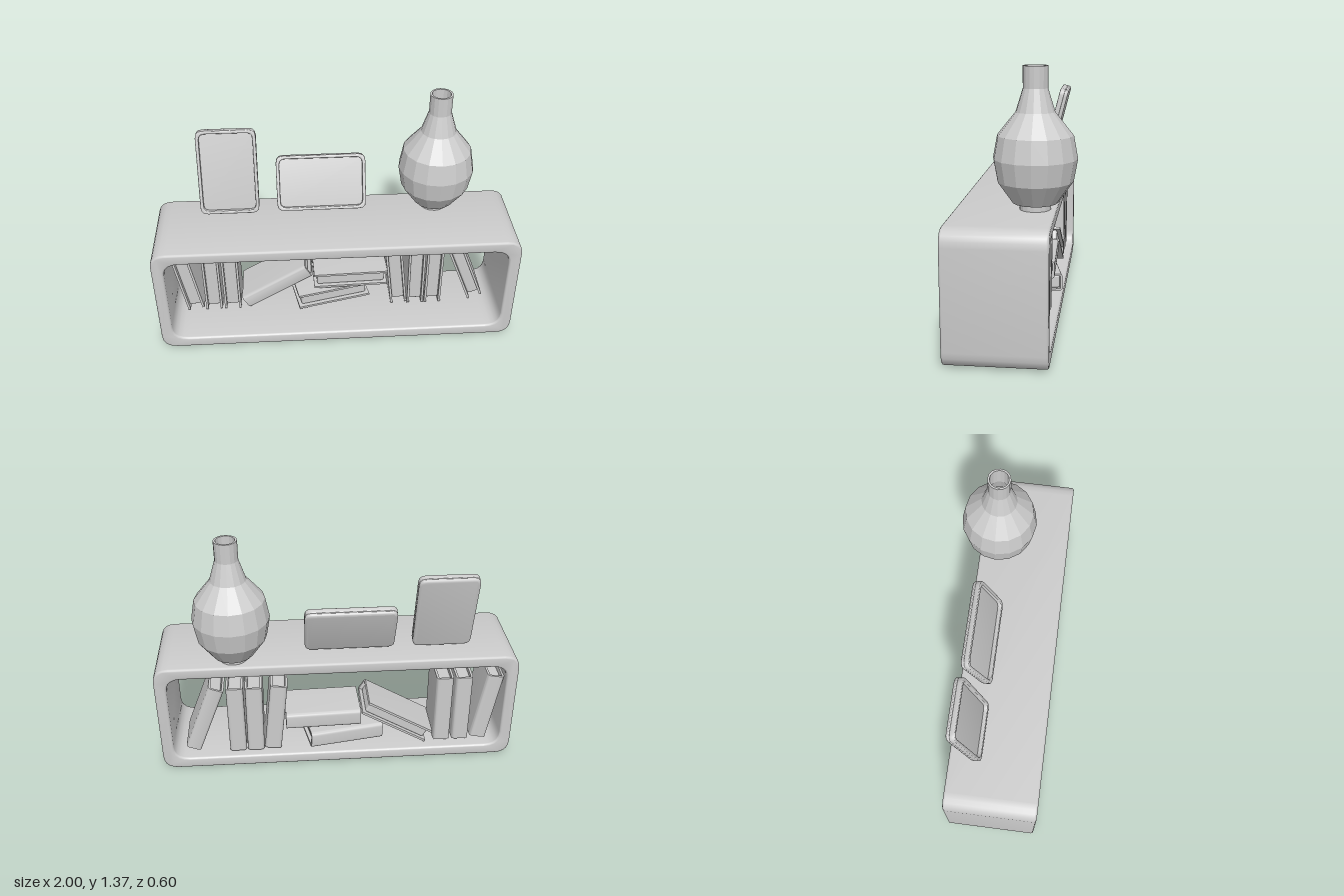
import * as THREE from 'three';
import { toCreasedNormals } from 'three/addons/utils/BufferGeometryUtils.js';
import { RoundedBoxGeometry } from 'three/addons/geometries/RoundedBoxGeometry.js';

const grey = new THREE.MeshStandardMaterial({ color: 0xcccccc });
const facetGrey = new THREE.MeshStandardMaterial({ color: 0xcccccc, flatShading: true, side: THREE.DoubleSide });

function part(name, geometry, material = grey) {
  const mesh = new THREE.Mesh(geometry, material);
  mesh.name = name;
  return mesh;
}

// Rounded rectangle centred on the origin, drawn into a Shape or Path
function roundedRect(target, w, h, r) {
  const x = w / 2, y = h / 2;
  target.moveTo(-x + r, -y);
  target.lineTo(x - r, -y);
  target.quadraticCurveTo(x, -y, x, -y + r);
  target.lineTo(x, y - r);
  target.quadraticCurveTo(x, y, x - r, y);
  target.lineTo(-x + r, y);
  target.quadraticCurveTo(-x, y, -x, y - r);
  target.lineTo(-x, -y + r);
  target.quadraticCurveTo(-x, -y, -x + r, -y);
  return target;
}

// Extrusion from z0 to z1 whose bevel stays inside the outline
function slab(shape, z0, z1, bevel, curveSegments = 5) {
  const geometry = new THREE.ExtrudeGeometry(shape, {
    depth: z1 - z0 - 2 * bevel, bevelEnabled: bevel > 0, bevelThickness: bevel,
    bevelSize: bevel, bevelOffset: -bevel, bevelSegments: 3, curveSegments
  });
  geometry.translate(0, 0, z0 + bevel);
  return toCreasedNormals(geometry, 0.7);
}

// Open shelf: a rounded tube, open at front and back
function createShelf() {
  const shape = roundedRect(new THREE.Shape(), 2, 0.67, 0.085);
  shape.holes.push(roundedRect(new THREE.Path(), 1.87, 0.54, 0.085));
  const shelf = part('shelf', slab(shape, -0.2, 0.3, 0.012));
  shelf.position.y = 0.335;
  return shelf;
}

// Book standing upright, spine towards -z: a folded cover around a page block
function createBook(name, thickness = 0.096, height = 0.425, depth = 0.25) {
  const book = new THREE.Group();
  book.name = name;
  const x = thickness / 2, y = depth / 2, b = 0.013, r = 0.022;
  const outline = new THREE.Shape();
  outline.moveTo(-x, -y);
  outline.lineTo(-x + b, -y);
  outline.lineTo(-x + b, y - b);
  outline.lineTo(x - b, y - b);
  outline.lineTo(x - b, -y);
  outline.lineTo(x, -y);
  outline.lineTo(x, y - r);
  outline.quadraticCurveTo(x, y, x - r, y);
  outline.lineTo(-x + r, y);
  outline.quadraticCurveTo(-x, y, -x, y - r);
  outline.closePath();
  const cover = part('cover', slab(outline, -height / 2, height / 2, 0));
  cover.rotation.x = -Math.PI / 2;
  const pages = part('pages',
    new RoundedBoxGeometry(thickness - 2 * b + 0.002, height - 0.035, depth - 0.03, 2, 0.012));
  pages.position.z = -0.003;
  book.add(cover, pages);
  return book;
}

// Picture frame: puffy back panel with a thin raised rim, leaning backwards
function createFrame(name, w, h, lean) {
  const frame = new THREE.Group();
  frame.name = name;
  const rim = roundedRect(new THREE.Shape(), w, h, 0.04);
  rim.holes.push(roundedRect(new THREE.Path(), w - 0.036, h - 0.036, 0.032));
  frame.add(
    part('frameRim', slab(rim, -0.005, 0.025, 0.004, 3)),
    part('framePanel', slab(roundedRect(new THREE.Shape(), w, h, 0.04), -0.025, 0.003, 0.013, 3))
  );
  frame.rotation.x = -lean;
  return frame;
}

// Faceted bottle vase, hollow at the neck
function createVase() {
  const profile = [
    [0, 0], [0.077, 0], [0.077, 0.033], [0.112, 0.036], [0.187, 0.143], [0.207, 0.255],
    [0.186, 0.368], [0.096, 0.48], [0.061, 0.593], [0.061, 0.7], [0.05, 0.7],
    [0.05, 0.593], [0.085, 0.48], [0.17, 0.36], [0.19, 0.255], [0.1, 0.06], [0, 0.06]
  ].map(([r, y]) => new THREE.Vector2(r, y));
  const vase = part('vase', new THREE.LatheGeometry(profile, 16), facetGrey);
  vase.position.set(0.565, 0.668, -0.095);
  return vase;
}

export function createModel() {
  const model = new THREE.Group();
  model.name = 'bookshelf';
  model.add(createShelf(), createVase());

  // Picture frames on top
  const portrait = createFrame('portraitFrame', 0.325, 0.48, 0.25);
  portrait.position.set(-0.58, 0.92, -0.108);
  const landscape = createFrame('landscapeFrame', 0.495, 0.31, 0.4);
  landscape.position.set(-0.07, 0.832, -0.107);
  model.add(portrait, landscape);

  // Standing books: centre x, centre y, sideways lean
  const standing = [
    [-0.853, 0.307, 0.17], [-0.712, 0.302, 0], [-0.603, 0.302, 0],
    [0.35, 0.295, 0.11], [0.47, 0.288, 0.01], [0.574, 0.288, 0], [0.75, 0.302, 0.37]
  ];
  for (const [x, y, lean] of standing) {
    const book = createBook('standingBook', lean > 0.3 ? 0.088 : 0.096);
    book.position.set(x, y, -0.035);
    book.rotation.z = lean;
    model.add(book);
  }

  // Lying books: centre x, centre y, tilt, turn about the vertical
  for (const [x, y, tilt, turn] of [[-0.03, 0.146, 0.03, 0.2], [0.085, 0.267, 0, 0.03]]) {
    const lying = new THREE.Group();
    lying.name = 'lyingBook';
    const book = createBook('book', 0.098);
    book.rotation.z = Math.PI / 2;
    lying.add(book);
    lying.position.set(x, y, -0.04);
    lying.rotation.set(0, turn, tilt);
    model.add(lying);
  }

  // Slanted book resting on the stack, spine to the front
  const slanted = new THREE.Group();
  slanted.name = 'slantedBook';
  const book = createBook('book', 0.086, 0.43);
  book.rotation.y = Math.PI;
  slanted.add(book);
  slanted.position.set(-0.34, 0.229, -0.04);
  slanted.rotation.z = -1.03;
  model.add(slanted);

  return model;
}
